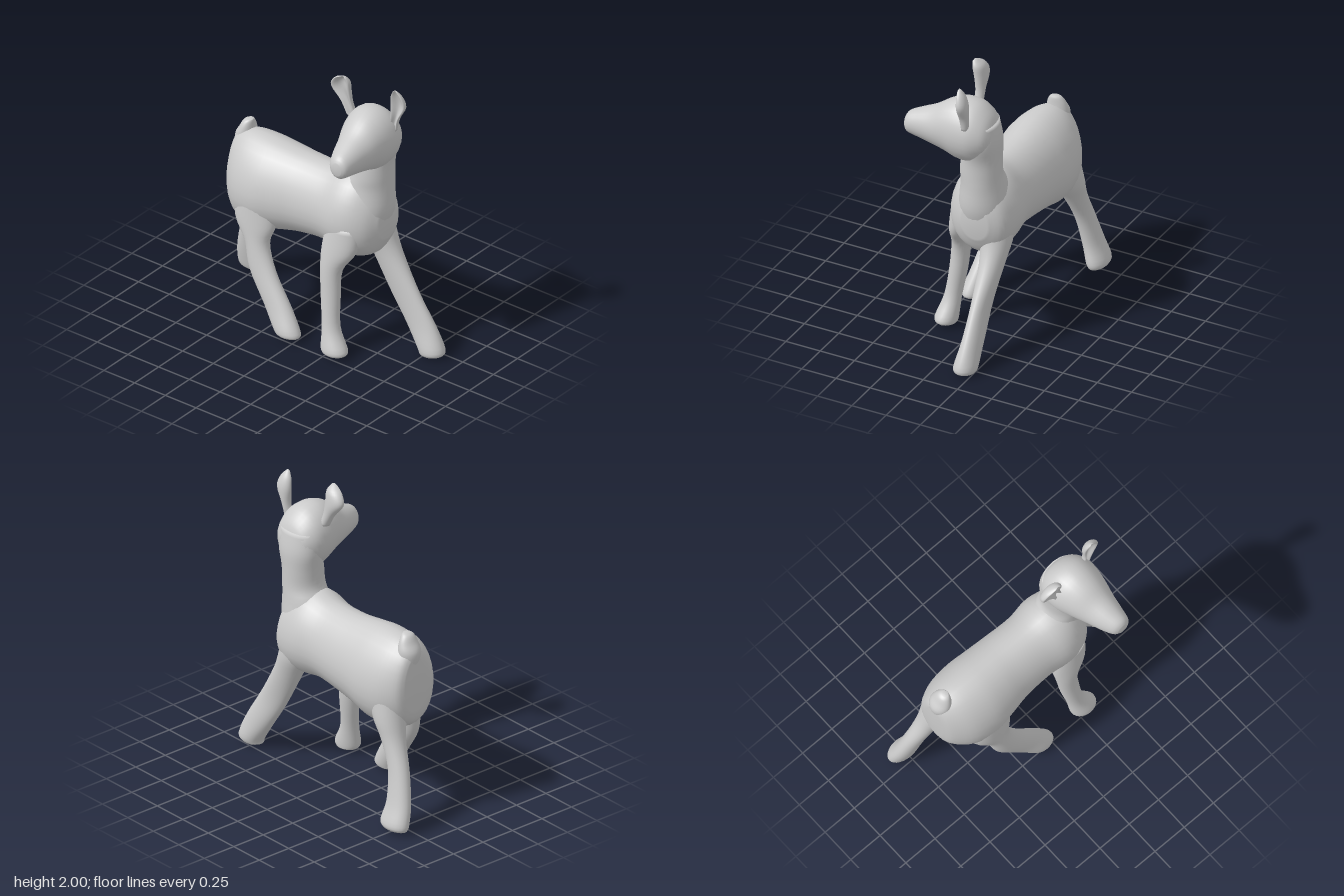
import * as THREE from 'three';

const material = new THREE.MeshStandardMaterial({ color: 0xcccccc });
const SIDES = 28, STEPS = 4;

// Catmull-Rom blend of four numbers
const blend = (a, b, c, d, t) =>
  0.5 * (2 * b + (c - a) * t + (2 * a - 5 * b + 4 * c - d) * t * t + (3 * b - a - 3 * c + d) * t * t * t);

// Smooth skin over oval sections. Each row is [position along axis, aMin, aMax, bMin, bMax],
// where (a, b) are the two axes following the loft axis in x-y-z order.
// egg narrows the a-width towards +b, dent hollows the -b side, bulge rounds the ends.
function loft(name, axis, rows, { egg = 0, dent = 0, bulge = 0.012 } = {}) {
  const fine = [];
  const at = (i) => rows[Math.min(Math.max(i, 0), rows.length - 1)];
  for (let i = 0; i < rows.length - 1; i++)
    for (let s = 0; s < STEPS; s++)
      fine.push(rows[i].map((_, k) => blend(at(i - 1)[k], at(i)[k], at(i + 1)[k], at(i + 2)[k], s / STEPS)));
  fine.push(rows[rows.length - 1]);

  const positions = [], index = [];
  const add = (t, a, b) => {
    const p = [0, 0, 0];
    p[axis] = t; p[(axis + 1) % 3] = a; p[(axis + 2) % 3] = b;
    positions.push(...p);
  };
  for (const [t, a0, a1, b0, b1] of fine)
    for (let j = 0; j < SIDES; j++) {
      const c = Math.cos(j / SIDES * 2 * Math.PI), s = Math.sin(j / SIDES * 2 * Math.PI);
      const hollow = s < 0 ? 1 - dent * s * s : 1;
      add(t, (a0 + a1) / 2 + (a1 - a0) / 2 * c * (1 - egg * s), (b0 + b1) / 2 + (b1 - b0) / 2 * s * hollow);
    }
  for (let r = 0; r < fine.length - 1; r++)
    for (let j = 0; j < SIDES; j++) {
      const k = (j + 1) % SIDES, lo = r * SIDES, hi = lo + SIDES;
      index.push(lo + j, lo + k, hi + k, lo + j, hi + k, hi + j);
    }
  // end caps
  const first = fine[0], last = fine[fine.length - 1], n = fine.length * SIDES, top = n - SIDES;
  add(first[0] - bulge, (first[1] + first[2]) / 2, (first[3] + first[4]) / 2);
  add(last[0] + bulge, (last[1] + last[2]) / 2, (last[3] + last[4]) / 2);
  for (let j = 0; j < SIDES; j++) {
    const k = (j + 1) % SIDES;
    index.push(n, k, j, n + 1, top + j, top + k);
  }
  const geometry = new THREE.BufferGeometry();
  geometry.setAttribute('position', new THREE.Float32BufferAttribute(positions, 3));
  geometry.setIndex(index);
  geometry.computeVertexNormals();
  const mesh = new THREE.Mesh(geometry, material);
  mesh.name = name;
  return mesh;
}

const X = 0, Y = 1, Z = 2;

export function createModel() {
  const model = new THREE.Group();
  model.name = 'fawn';

  // Torso, rump to chest: z, x range, y range
  model.add(loft('body', Z, [
    [-0.705, 0.01, 0.19, 0.76, 1.15],
    [-0.675, -0.07, 0.25, 0.67, 1.21],
    [-0.56, -0.16, 0.31, 0.60, 1.25],
    [-0.40, -0.19, 0.33, 0.60, 1.255],
    [-0.25, -0.17, 0.32, 0.64, 1.24],
    [-0.10, -0.145, 0.31, 0.67, 1.225],
    [0.10, -0.14, 0.30, 0.69, 1.225],
    [0.25, -0.16, 0.32, 0.67, 1.26],
    [0.36, -0.14, 0.31, 0.66, 1.25],
    [0.45, -0.08, 0.28, 0.71, 1.18],
    [0.505, 0.01, 0.20, 0.82, 1.08],
  ], { egg: 0.13 }));

  // Neck: y, z range, x range
  model.add(loft('neck', Y, [
    [0.80, 0.18, 0.45, -0.06, 0.25],
    [1.00, 0.16, 0.525, -0.07, 0.27],
    [1.18, 0.20, 0.53, -0.045, 0.25],
    [1.28, 0.255, 0.53, -0.04, 0.24],
    [1.40, 0.26, 0.535, -0.03, 0.24],
    [1.53, 0.25, 0.565, 0.0, 0.24],
    [1.66, 0.27, 0.56, 0.03, 0.215],
  ]));

  // Head turned to the right, muzzle to nape: x, y range, z range
  model.add(loft('head', X, [
    [-0.40, 1.51, 1.60, 0.44, 0.515],
    [-0.375, 1.48, 1.635, 0.405, 0.545],
    [-0.30, 1.46, 1.67, 0.365, 0.56],
    [-0.20, 1.435, 1.715, 0.325, 0.575],
    [-0.10, 1.405, 1.78, 0.28, 0.595],
    [0.00, 1.37, 1.81, 0.245, 0.61],
    [0.10, 1.38, 1.79, 0.24, 0.605],
    [0.18, 1.44, 1.715, 0.28, 0.56],
    [0.215, 1.51, 1.63, 0.34, 0.50],
  ], { bulge: 0.008 }));

  // Cupped ears: y, z range, x range
  model.add(loft('leftEar', Y, [
    [1.67, 0.54, 0.60, 0.04, 0.10],
    [1.76, 0.56, 0.62, 0.03, 0.11],
    [1.86, 0.555, 0.67, 0.03, 0.115],
    [1.93, 0.565, 0.655, 0.03, 0.095],
    [1.975, 0.59, 0.62, 0.035, 0.065],
  ], { dent: 1.3 }));
  model.add(loft('rightEar', Y, [
    [1.70, 0.25, 0.32, -0.03, 0.05],
    [1.79, 0.20, 0.29, -0.03, 0.045],
    [1.88, 0.13, 0.285, -0.05, 0.045],
    [1.95, 0.16, 0.285, -0.06, 0.03],
    [1.988, 0.22, 0.265, -0.05, -0.01],
  ], { dent: 1.3 }));

  // Tail stub: y, z range, x range
  model.add(loft('tail', Y, [
    [1.06, -0.70, -0.56, 0.04, 0.16],
    [1.17, -0.715, -0.57, 0.02, 0.18],
    [1.24, -0.68, -0.58, 0.03, 0.165],
    [1.285, -0.655, -0.585, 0.05, 0.14],
    [1.30, -0.63, -0.59, 0.07, 0.12],
  ], { bulge: 0.004 }));

  // Legs, hoof to shoulder or hip: y, z range, x range
  const legs = {
    frontLeftLeg: [
      [0.01, 0.70, 0.86, 0.13, 0.26],
      [0.05, 0.685, 0.885, 0.12, 0.275],
      [0.20, 0.58, 0.815, 0.14, 0.265],
      [0.40, 0.45, 0.69, 0.14, 0.255],
      [0.64, 0.32, 0.545, 0.12, 0.28],
      [0.80, 0.24, 0.48, 0.09, 0.30],
      [0.95, 0.22, 0.46, 0.08, 0.29],
    ],
    frontRightLeg: [
      [0.025, 0.225, 0.39, -0.265, -0.13],
      [0.06, 0.21, 0.40, -0.275, -0.125],
      [0.20, 0.20, 0.325, -0.235, -0.12],
      [0.40, 0.17, 0.305, -0.21, -0.09],
      [0.60, 0.15, 0.31, -0.195, -0.07],
      [0.75, 0.14, 0.40, -0.18, -0.02],
      [0.92, 0.16, 0.42, -0.155, 0.02],
    ],
    backRightLeg: [
      [0.025, -0.15, 0.02, -0.265, -0.15],
      [0.06, -0.17, 0.025, -0.28, -0.14],
      [0.20, -0.27, -0.06, -0.25, -0.125],
      [0.40, -0.405, -0.20, -0.225, -0.105],
      [0.58, -0.46, -0.28, -0.205, -0.07],
      [0.72, -0.56, -0.25, -0.195, -0.02],
      [0.90, -0.56, -0.26, -0.18, 0.02],
    ],
    backLeftLeg: [
      [0.03, -0.87, -0.66, 0.27, 0.39],
      [0.07, -0.88, -0.65, 0.255, 0.40],
      [0.20, -0.855, -0.665, 0.225, 0.355],
      [0.40, -0.795, -0.635, 0.19, 0.315],
      [0.58, -0.72, -0.55, 0.15, 0.305],
      [0.72, -0.685, -0.46, 0.10, 0.315],
      [0.90, -0.65, -0.40, 0.08, 0.30],
    ],
  };
  for (const [name, rows] of Object.entries(legs)) model.add(loft(name, Y, rows));

  return model;
}
